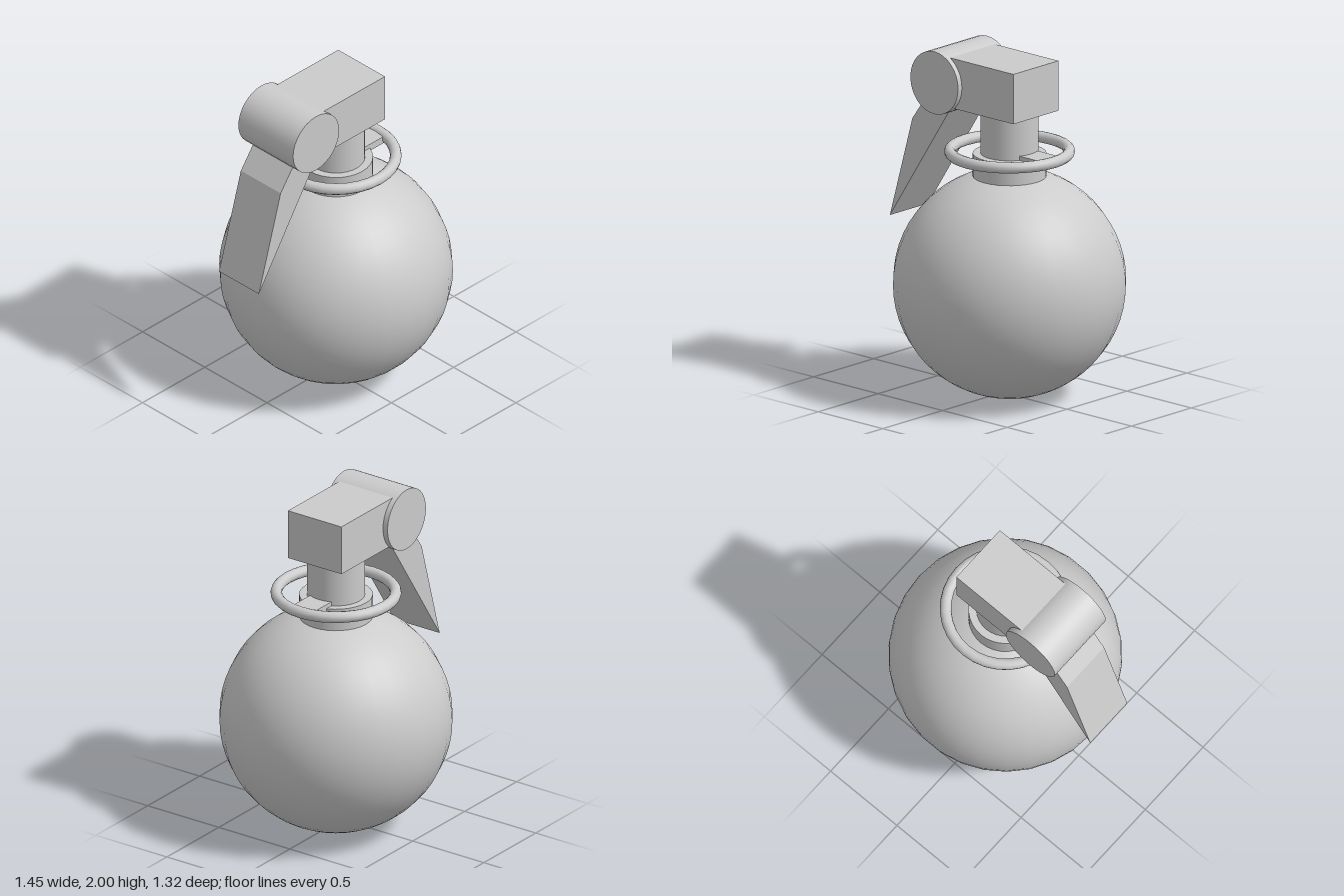
import * as THREE from 'three';

export function createModel() {
  const group = new THREE.Group();
  const material = new THREE.MeshStandardMaterial({ color: 0xcccccc });
  const axisX = 0.055; // the body, neck and ring share this vertical axis

  const add = (name, geometry, x = 0, y = 0, z = 0) => {
    const mesh = new THREE.Mesh(geometry, material);
    mesh.name = name;
    mesh.position.set(x, y, z);
    group.add(mesh);
    return mesh;
  };

  // box given by its x and y extents and its half depth
  const addBox = (name, x0, x1, y0, y1, halfZ) =>
    add(name, new THREE.BoxGeometry(x1 - x0, y1 - y0, halfZ * 2), (x0 + x1) / 2, (y0 + y1) / 2);

  // upright cylinder on the shared axis
  const addPost = (name, radius, y0, y1) =>
    add(name, new THREE.CylinderGeometry(radius, radius, y1 - y0, 32), axisX, (y0 + y1) / 2);

  // round body
  add('body', new THREE.SphereGeometry(0.665, 30, 30), axisX, 0.665);

  // collar and neck
  addPost('collar', 0.21, 1.2, 1.43);
  addPost('neck', 0.165, 1.3, 1.72);

  // pull ring and the flat pin joining it to the neck
  const ring = add('pullRing', new THREE.TorusGeometry(0.34, 0.033, 12, 32), axisX, 1.44);
  ring.rotation.x = Math.PI / 2;
  addBox('pin', axisX, 0.38, 1.41, 1.455, 0.075);

  // head block and hinge drum
  addBox('head', -0.32, 0.26, 1.68, 1.975, 0.188);
  const hinge = add('hinge', new THREE.CylinderGeometry(0.185, 0.185, 0.44, 32), -0.325, 1.815);
  hinge.rotation.x = Math.PI / 2;

  // tapering bent lever
  const profile = new THREE.Shape([
    [-0.725, 0.94], [-0.24, 1.685], [-0.31, 1.83], [-0.36, 1.81], [-0.55, 1.55],
  ].map(([x, y]) => new THREE.Vector2(x, y)));
  const lever = new THREE.ExtrudeGeometry(profile, { depth: 0.32, bevelEnabled: false });
  add('lever', lever, 0, 0, -0.16);

  return group;
}
